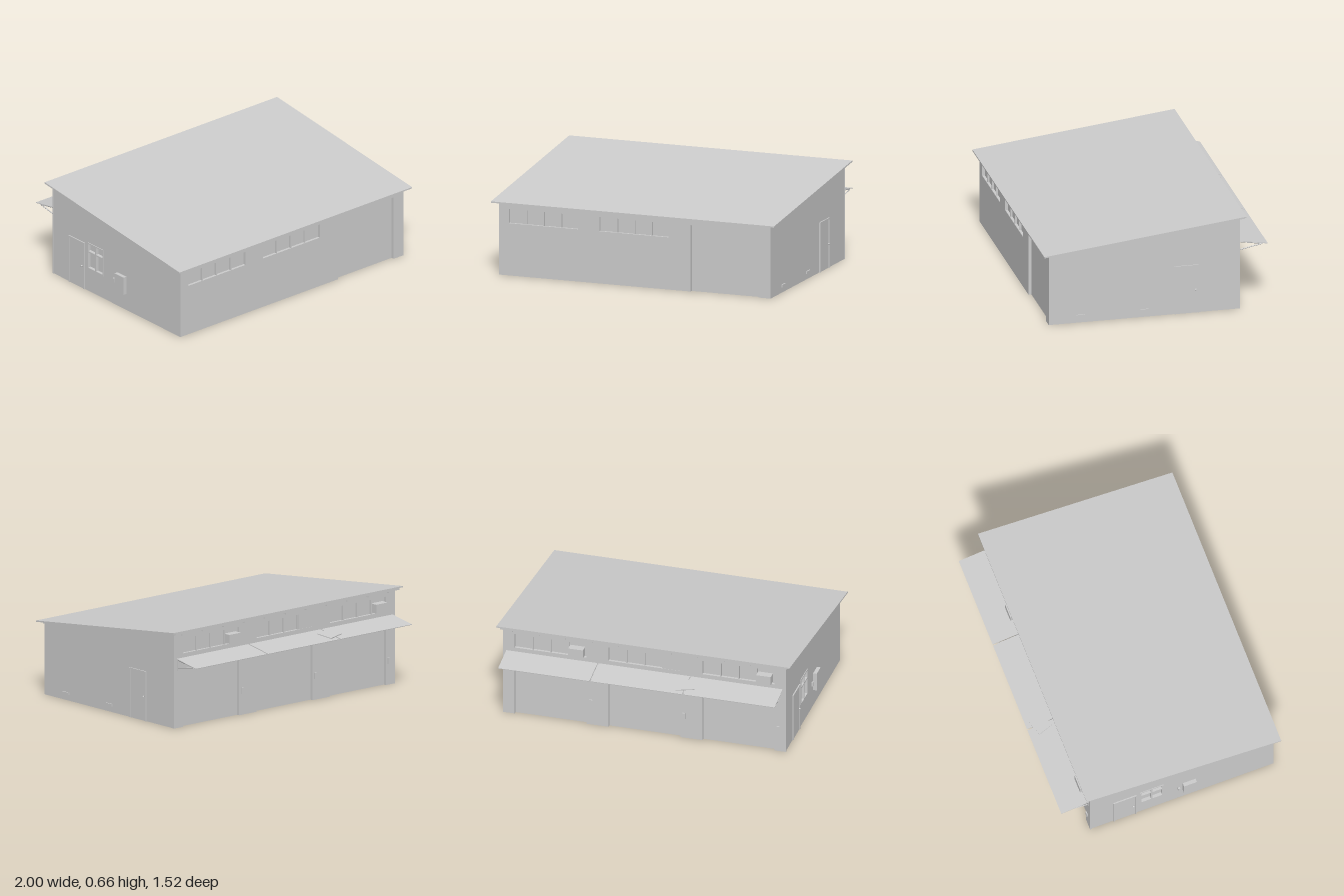
import * as THREE from 'three';

const grey = new THREE.MeshStandardMaterial({ color: 0xcccccc, side: THREE.DoubleSide, flatShading: true });
const T = 0.02, W = 0.96, ZF = 0.715, ZB = -0.57, SLOPE = 0.1176;
const wallTop = (z) => 0.478 + (ZF - z) * SLOPE;

export function createModel() {
  const root = new THREE.Group();

  const add = (name, geo, x = 0, y = 0, z = 0, parent = root) => {
    const m = new THREE.Mesh(geo, grey);
    m.name = name;
    m.position.set(x, y, z);
    parent.add(m);
    return m;
  };
  // box given by its limits
  const box = (name, x0, x1, y0, y1, z0, z1) =>
    add(name, new THREE.BoxGeometry(Math.abs(x1 - x0), Math.abs(y1 - y0), Math.abs(z1 - z0)),
      (x0 + x1) / 2, (y0 + y1) / 2, (z0 + z1) / 2);
  const poly = (pts) => new THREE.Shape(pts.map((p) => new THREE.Vector2(...p)));
  const rect = ([a, b, c, d]) => poly([[a, c], [b, c], [b, d], [a, d]]);
  // wall plate with rectangular holes [u0, u1, y0, y1]
  const wall = (name, outline, holes) => {
    const s = poly(outline);
    holes.forEach((h) => s.holes.push(rect(h)));
    return add(name, new THREE.ExtrudeGeometry(s, { depth: T, bevelEnabled: false }));
  };

  // Front wall: two window strips and a gate
  const frontWindows = [[-0.89, -0.4, 0.35, 0.445], [-0.25, 0.24, 0.35, 0.445]];
  const hF = wallTop(ZF), hB = wallTop(ZB);
  wall('frontWall', [[-W, 0], [0.395, 0], [0.395, 0.445], [0.875, 0.445], [0.875, 0], [W, 0], [W, hF], [-W, hF]],
    frontWindows).position.z = ZF - T;
  box('frontGate', 0.395, 0.875, 0, 0.445, ZF - T - 0.008, ZF - T);

  // Back wall: three gates with window strips above
  const bays = [0.64, 0, -0.64];
  const backWindows = bays.map((x) => [x - 0.245, x + 0.245, 0.495, 0.595]);
  const outline = [[W, 0], [W, hB], [-W, hB], [-W, 0]];
  [...bays].reverse().forEach((x) =>
    outline.push([x - 0.245, 0], [x - 0.245, 0.425], [x + 0.245, 0.425], [x + 0.245, 0]));
  wall('backWall', outline, backWindows).position.z = ZB;
  bays.forEach((x) => box('backGate', x - 0.245, x + 0.245, 0, 0.425, ZB + T, ZB + T + 0.008));

  // Glass and mullions of each strip
  const strip = ([a, b, c, d], zGlass, zBar) => {
    box('windowGlass', a, b, c, d, zGlass - 0.002, zGlass + 0.002);
    for (let i = 1; i < 4; i++) {
      const x = a + (b - a) * i / 4;
      box('windowMullion', x - 0.004, x + 0.004, c, d, zGlass, zBar);
    }
  };
  frontWindows.forEach((w) => strip(w, ZF - T, ZF - 0.004));
  backWindows.forEach((w) => strip(w, ZB + T, ZB + 0.004));
  box('blankPane', -0.245, -0.13, 0.495, 0.595, ZB + 0.002, ZB + T);
  [0.46, -0.82].forEach((x) => box('airConditioner', x - 0.05, x + 0.05, 0.505, 0.565, ZB - 0.035, ZB + T));

  // Sloped side walls
  const side = [[ZF - T, 0], [ZF - T, wallTop(ZF - T)], [ZB + T, wallTop(ZB + T)], [ZB + T, 0]];
  const sideWindow = [-0.215, -0.06, 0.165, 0.345];
  [[1, []], [-1, [sideWindow]]].forEach(([s, holes]) => {
    const m = wall(s > 0 ? 'leftWall' : 'rightWall', side, holes);
    m.rotation.y = -Math.PI / 2;
    m.position.x = s > 0 ? W : -W + T;
    // corner trim at the back edge
    box('cornerTrim', s * W, s * (W + 0.004), 0, hB, ZB, ZB + 0.012);
  });

  // Side doors with frame and knob
  const sideDoor = (s, z0, z1, knobZ) => {
    const x = s * W;
    box('sideDoor', x, x + s * 0.003, 0, 0.325, z0, z1);
    [z0, z1].forEach((z) => box('doorJamb', x, x + s * 0.008, 0, 0.335, z - 0.005, z + 0.005));
    box('doorHead', x, x + s * 0.008, 0.325, 0.335, z0, z1);
    add('doorKnob', new THREE.SphereGeometry(0.007, 10, 8), x + s * 0.01, 0.163, knobZ);
  };
  sideDoor(1, -0.29, -0.135, -0.273);
  sideDoor(-1, -0.4, -0.25, -0.268);

  // Right side window, service box and meter
  const [z0, z1, y0, y1] = sideWindow, zm = (z0 + z1) / 2;
  box('sideGlass', -W + T - 0.003, -W + T, y0, y1, z0, z1);
  [z0, zm, z1].forEach((z) => box('sideWindowBar', -W - 0.004, -W + T, y0, y1, z - 0.005, z + 0.005));
  [y0, 0.285, y1].forEach((y) => box('sideWindowRail', -W - 0.004, -W + T, y - 0.005, y + 0.005, z0, z1));
  box('serviceBox', -W - 0.025, -W, 0.115, 0.24, 0.08, 0.17);
  box('meterBox', -W - 0.012, -W, 0.16, 0.19, 0.045, 0.06);

  // Low wall vents
  [0.5, 0.073].forEach((z) => box('wallVent', W, W + 0.008, 0.038, 0.055, z - 0.029, z + 0.029));

  // Switch boxes beside the back gates
  [0.365, -0.27, -0.91].forEach((x) => box('switchBox', x - 0.011, x + 0.011, 0.14, 0.185, ZB - 0.008, ZB));

  // Roof: thin sheet over a slightly smaller deck, extruded across the width
  const slab = (name, zf, zb, lo, hi, half) => {
    const s = poly([[zf, wallTop(zf) + lo], [zf, wallTop(zf) + hi], [zb, wallTop(zb) + hi], [zb, wallTop(zb) + lo]]);
    const m = add(name, new THREE.ExtrudeGeometry(s, { depth: half * 2, bevelEnabled: false }), half);
    m.rotation.y = -Math.PI / 2;
  };
  slab('roofDeck', 0.715, -0.6, 0, 0.013, 0.975);
  slab('roofSheet', 0.755, -0.607, 0.013, 0.022, 1);
  for (let i = 0; i < 11; i++) {
    const x = -0.9 + i * 0.18;
    box('rafterTail', x - 0.008, x + 0.008, hB - 0.008, hB + 0.004, ZB - 0.022, ZB);
  }

  // Awnings over the back gates
  const tilt = Math.atan2(0.032, 0.192);
  const sheet = new THREE.BoxGeometry(0.622, 0.004, 0.195);
  [0.631, 0, -0.631].forEach((x) => {
    add('awning', sheet, x, 0.449, -0.667).rotation.x = -tilt;
  });
  // Bracket struts
  const rod = (a, b) => add('awningStrut',
    new THREE.TubeGeometry(new THREE.LineCurve3(new THREE.Vector3(...a), new THREE.Vector3(...b)), 1, 0.004, 6));
  [0.93, 0.315, -0.315, -0.93].forEach((x) => {
    rod([x, 0.4, ZB], [x, 0.431, -0.73]);
    rod([x, 0.458, ZB], [x, 0.431, -0.73]);
    box('strutPlate', x - 0.008, x + 0.008, 0.385, 0.465, ZB - 0.006, ZB);
  });

  // Loose panel lying askew on the awning
  const loose = new THREE.Group();
  loose.name = 'loosePanel';
  loose.position.set(-0.305, 0.454, -0.67);
  loose.rotation.x = -tilt;
  add('panelSheet', new THREE.BoxGeometry(0.125, 0.006, 0.106), 0, 0, 0, loose).rotation.y = 0.29;
  root.add(loose);

  return root;
}
